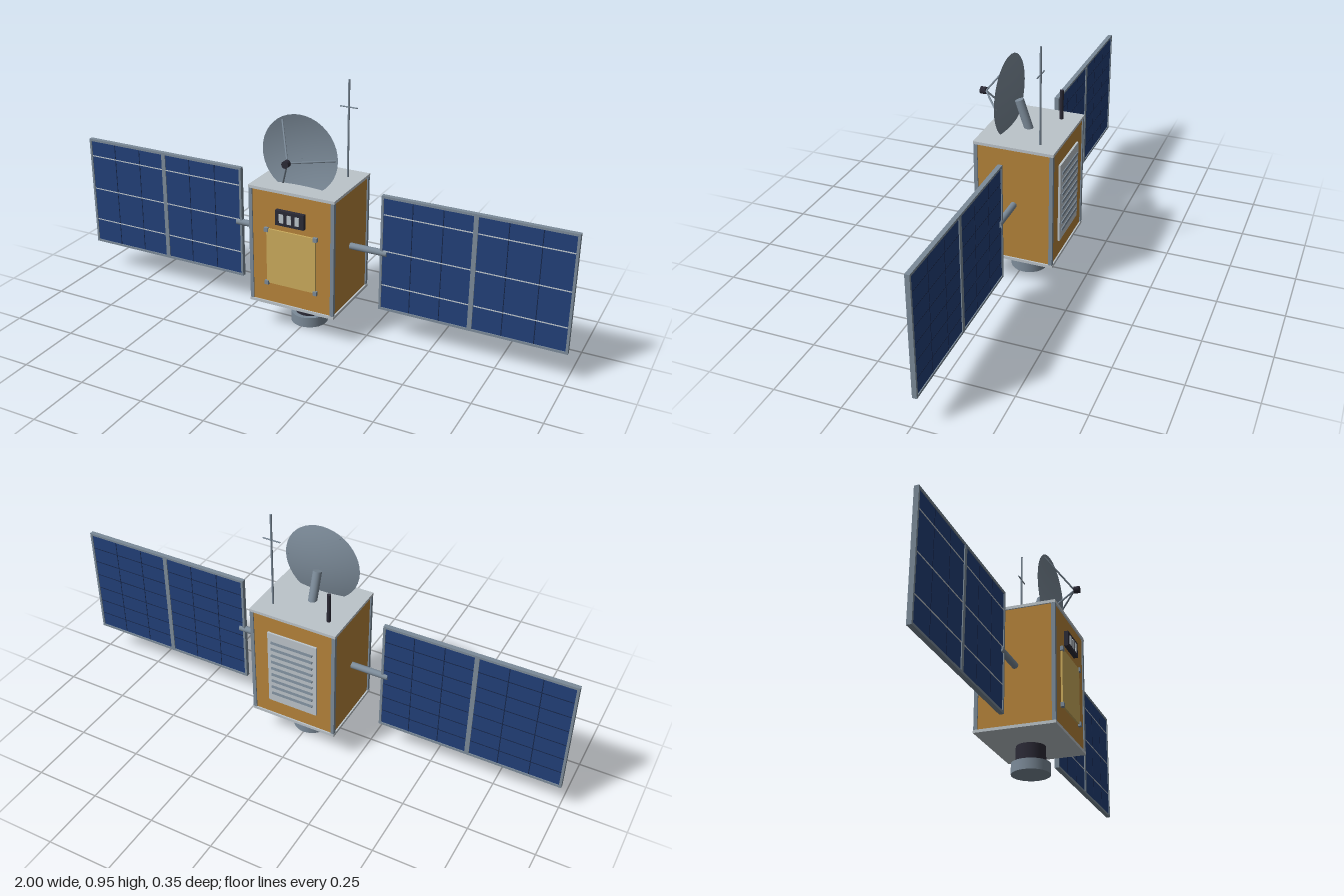
import * as THREE from 'three';

const mat = (name, color, extra = {}) => {
  const m = new THREE.MeshStandardMaterial({ color, ...extra });
  m.name = name;
  return m;
};

export function createModel() {
  const gold = mat('gold foil', 0xb5833a);
  const paleGold = mat('pale gold', 0xcbab5c);
  const steel = mat('steel', 0x7c8b99);
  const dish = mat('dish steel', 0x7c8b99, { side: THREE.DoubleSide });
  const light = mat('light grey', 0xbcc4ca);
  const dark = mat('dark', 0x2b2a36);
  const blue = mat('cell blue', 0x223f78);
  const navy = mat('cell gap', 0x16264a);

  const model = new THREE.Group();
  model.name = 'satellite';
  const CZ = -0.0165; // centre line of bus, booms and thruster

  const add = (parent, name, geo, material, x = 0, y = 0, z = 0) => {
    const m = new THREE.Mesh(geo, material);
    m.name = name;
    m.position.set(x, y, z);
    parent.add(m);
    return m;
  };
  const box = (parent, name, material, w, h, d, x, y, z) =>
    add(parent, name, new THREE.BoxGeometry(w, h, d), material, x, y, z);
  // Cylinder running from point a to point b
  const rod = (parent, name, material, r, a, b, sides = 12) => {
    const A = new THREE.Vector3(...a), B = new THREE.Vector3(...b);
    const dir = B.clone().sub(A);
    const m = add(parent, name, new THREE.CylinderGeometry(r, r, dir.length(), sides), material);
    m.position.copy(A).add(B).multiplyScalar(0.5);
    m.quaternion.setFromUnitVectors(new THREE.Vector3(0, 1, 0), dir.normalize());
    return m;
  };

  // Bus: foil body, end plates and corner posts
  const bus = new THREE.Group();
  bus.name = 'bus';
  model.add(bus);
  box(bus, 'body', gold, 0.336, 0.45, 0.292, 0, 0.348, CZ);
  for (const y of [0.1195, 0.5775]) box(bus, 'endPlate', light, 0.348, 0.011, 0.303, 0, y, CZ);
  for (const sx of [-1, 1]) for (const sz of [-1, 1])
    box(bus, 'cornerPost', steel, 0.014, 0.447, 0.014, sx * 0.166, 0.3485, CZ + sz * 0.1435);

  // Front access panel with corner clips
  box(bus, 'accessPanel', paleGold, 0.2, 0.22, 0.008, 0, 0.315, 0.1325);
  for (const sx of [-1, 1]) for (const y of [0.206, 0.421])
    box(bus, 'clip', steel, 0.016, 0.016, 0.012, sx * 0.1, y, 0.136);

  // Sensor box with three windows
  box(bus, 'sensorBox', dark, 0.116, 0.058, 0.017, 0, 0.481, 0.137);
  for (const x of [-0.032, 0, 0.032])
    box(bus, 'sensorWindow', light, 0.017, 0.034, 0.004, x, 0.481, 0.1465);

  // Rear radiator with louvres
  box(bus, 'radiator', light, 0.2, 0.315, 0.008, 0, 0.3475, -0.1665);
  for (let i = 0; i < 9; i++) {
    const s = box(bus, 'louvre', steel, 0.17, 0.009, 0.005, 0, 0.23 + i * 0.0294, -0.1725);
    s.rotation.x = 0.2;
  }

  // Solar wings
  for (const s of [-1, 1]) {
    const wing = new THREE.Group();
    wing.name = s > 0 ? 'leftWing' : 'rightWing';
    model.add(wing);
    const wbox = (name, m, w, h, d, x, y, z = CZ) => box(wing, name, m, w, h, d, s * x, y, z);
    rod(wing, 'boom', steel, 0.0125, [s * 0.16, 0.349, CZ], [s * 0.315, 0.349, CZ], 16);
    wbox('cells', blue, 0.7, 0.445, 0.01, 0.645, 0.348);
    for (const y of [0.1245, 0.5715]) wbox('frameRail', steel, 0.71, 0.009, 0.017, 0.645, y);
    for (const x of [0.2945, 0.9955]) wbox('frameEnd', steel, 0.009, 0.456, 0.017, x, 0.348);
    wbox('frameMiddle', steel, 0.017, 0.456, 0.017, 0.643, 0.348);
    for (const x of [0.41, 0.525, 0.76, 0.878])
      wbox('cellGap', navy, 0.003, 0.438, 0.0115, x, 0.348);
    for (const y of [0.222, 0.36, 0.503])
      wbox('busbar', light, 0.69, 0.004, 0.002, 0.645, y, CZ + 0.0055);
    for (let i = 1; i < 7; i++)
      wbox('rearCellGap', navy, 0.69, 0.003, 0.001, 0.645, 0.125 + i * 0.0637, CZ - 0.0052);
  }

  // Dish: shallow bowl facing forward, feed on three struts
  const antenna = new THREE.Group();
  antenna.name = 'dishAntenna';
  antenna.position.set(0, 0.703, 0);
  model.add(antenna);
  const R = 0.151, depth = 0.022;
  const profile = [];
  for (let i = 0; i <= 10; i++) profile.push(new THREE.Vector2(R * i / 10, depth * (i / 10) ** 2));
  add(antenna, 'bowl', new THREE.LatheGeometry(profile, 40), dish, 0, 0, 0.04).rotation.x = Math.PI / 2;
  for (let i = 0; i < 3; i++) {
    const a = i * Math.PI * 2 / 3;
    rod(antenna, 'strut', steel, 0.0035, [0.141 * Math.cos(a), 0.141 * Math.sin(a), 0.06], [0, 0, 0.155], 8);
  }
  rod(antenna, 'feed', dark, 0.0135, [0, 0, 0.154], [0, 0, 0.175], 16);
  rod(model, 'dishArm', steel, 0.017, [0, 0.565, -0.017], [0, 0.688, 0.025], 20);

  // Whip antenna with crossbar, and short stub antenna
  rod(model, 'whip', steel, 0.004, [0.115, 0.58, -0.098], [0.115, 0.955, -0.098], 8);
  rod(model, 'whipCrossbar', steel, 0.0025, [0.08, 0.852, -0.098], [0.15, 0.852, -0.098], 8);
  rod(model, 'stub', dark, 0.0075, [-0.112, 0.58, -0.098], [-0.112, 0.698, -0.098], 12);

  // Thruster
  rod(model, 'thrusterNeck', dark, 0.054, [0, 0.038, CZ], [0, 0.103, CZ], 32);
  rod(model, 'thrusterRing', steel, 0.071, [0, 0, CZ], [0, 0.04, CZ], 32);

  return model;
}
